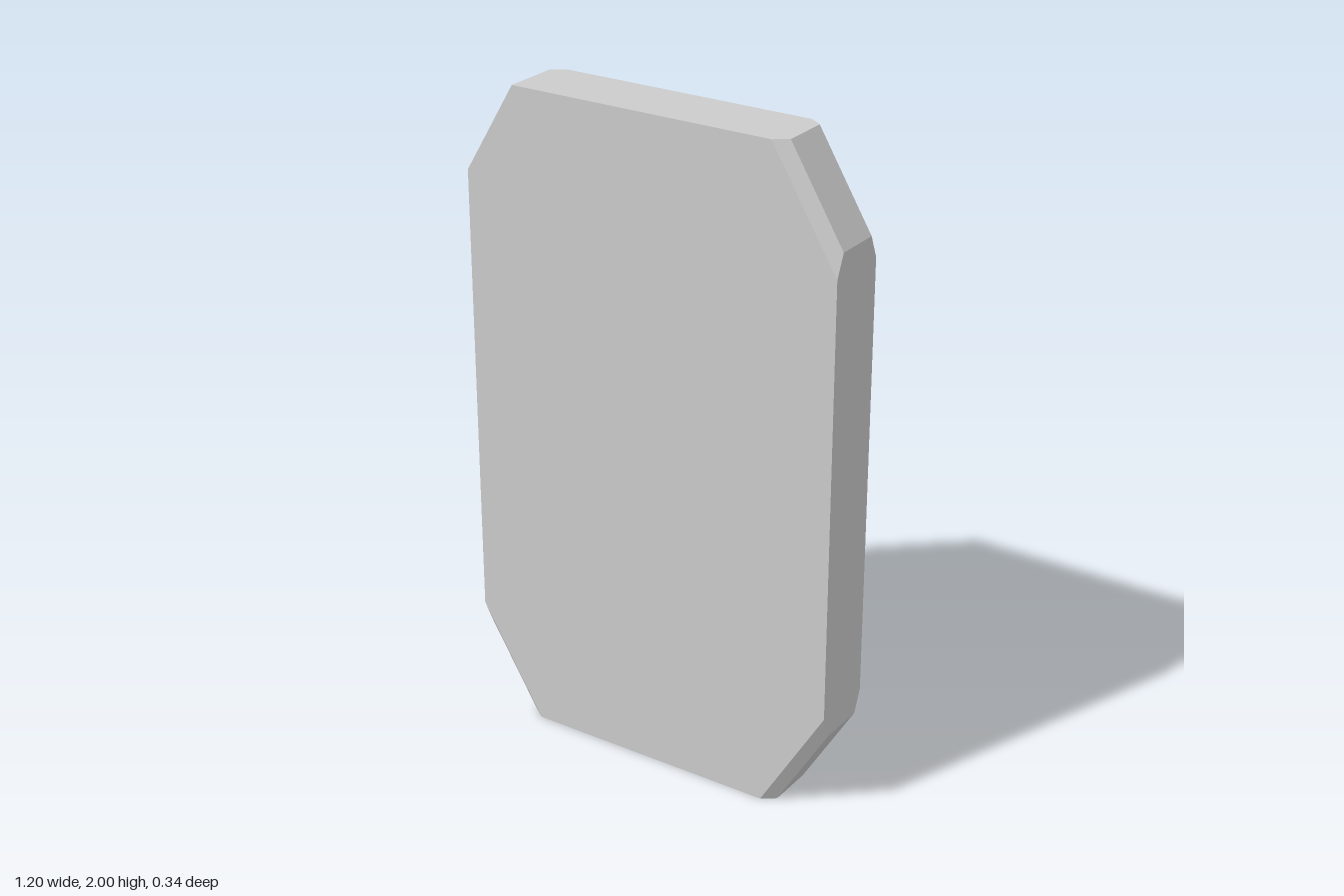
import * as THREE from 'three';
import { ConvexGeometry } from 'three/addons/geometries/ConvexGeometry.js';
import { toCreasedNormals } from 'three/addons/utils/BufferGeometryUtils.js';

const CORNERS = [[1, 1], [-1, 1], [-1, -1], [1, -1]];

// Slab with cut corners; the cut edges are chamfered front and back,
// except the front edge of the top right corner (-x).
function slabGeometry() {
  const points = [];
  const addCut = (sx, sy, x, y, z) => points.push(
    new THREE.Vector3(sx * x, 1 + sy, z),
    new THREE.Vector3(sx * 0.6, 1 + sy * y, z),
  );
  for (const [sx, sy] of CORNERS) {
    const sharpFront = sx < 0 && sy > 0;
    addCut(sx, sy, 0.435, 0.727, 0);
    addCut(sx, sy, 0.395, 0.66, -0.028);
    if (sharpFront) {
      addCut(sx, sy, 0.435, 0.727, 0.172);
    } else {
      addCut(sx, sy, 0.435, 0.727, 0.143);
      addCut(sx, sy, 0.395, 0.66, 0.172);
    }
  }
  return new ConvexGeometry(points);
}

// Octagonal outline with slightly eased corners, centred on the origin
function panelShape() {
  const w = 0.472, h = 0.788, cx = 0.342, cy = 0.572, ease = 0.036;
  const octagon = [
    [w, -cy], [w, cy], [cx, h], [-cx, h],
    [-w, cy], [-w, -cy], [-cx, -h], [cx, -h],
  ].map(([x, y]) => new THREE.Vector2(x, y));
  const toward = (a, b) => a.clone().add(b.clone().sub(a).setLength(ease));
  const outline = [];
  octagon.forEach((corner, i) => {
    const before = toward(corner, octagon[(i + 7) % 8]);
    const after = toward(corner, octagon[(i + 1) % 8]);
    outline.push(...new THREE.QuadraticBezierCurve(before, corner, after).getPoints(3));
  });
  return new THREE.Shape(outline);
}

export function createModel() {
  const group = new THREE.Group();
  const material = new THREE.MeshStandardMaterial({ color: 0xcccccc });

  const slab = new THREE.Mesh(slabGeometry(), material);
  slab.name = 'slab';
  group.add(slab);

  // Raised panel on the back, seated into the slab
  const panelGeometry = new THREE.ExtrudeGeometry(panelShape(), {
    depth: 0.145, bevelThickness: 0.018, bevelSize: 0.022, bevelOffset: -0.022, bevelSegments: 2,
  });
  const panel = new THREE.Mesh(toCreasedNormals(panelGeometry, 0.4), material);
  panel.name = 'backPanel';
  panel.position.set(0, 1.002, -0.154);
  group.add(panel);

  return group;
}
